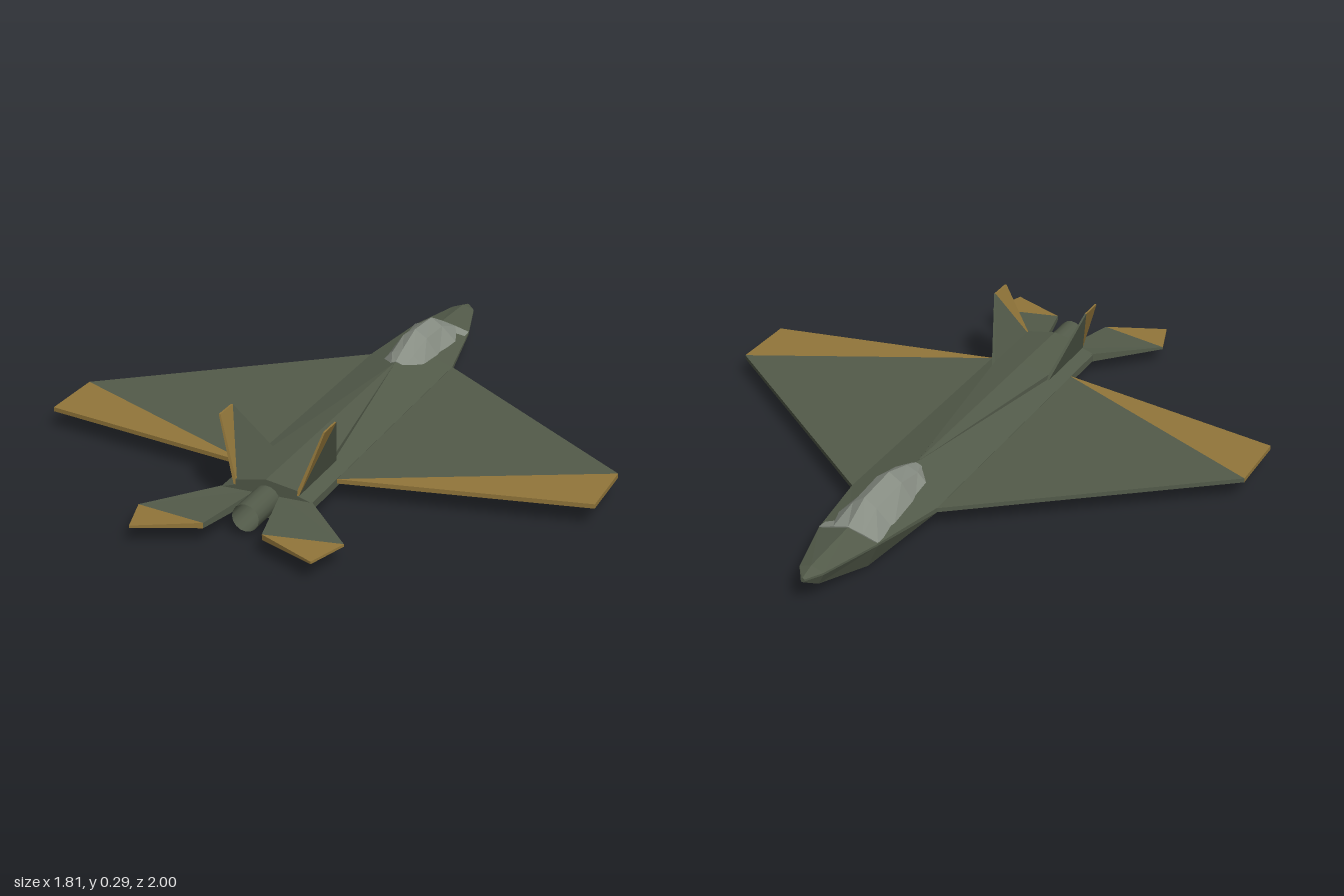
import * as THREE from 'three';

const mat = (name, color, side = THREE.FrontSide) => {
  const m = new THREE.MeshStandardMaterial({ color, side });
  m.name = name;
  return m;
};

// Flat-shaded closed solid skinned over rings of [x, y, z] points
function loft(rings) {
  const n = rings[0].length, tris = [];
  for (let r = 0; r < rings.length - 1; r++) {
    const a = rings[r], b = rings[r + 1];
    for (let i = 0; i < n; i++) {
      const j = (i + 1) % n;
      tris.push([a[i], a[j], b[j]], [a[i], b[j], b[i]]);
    }
  }
  const first = rings[0], last = rings[rings.length - 1];
  for (let i = 1; i < n - 1; i++) {
    tris.push([first[0], first[i + 1], first[i]], [last[0], last[i], last[i + 1]]);
  }
  // Turn the solid outward when its signed volume is negative
  let volume = 0;
  for (const [a, b, c] of tris) {
    volume += new THREE.Vector3(...a).dot(new THREE.Vector3(...b).cross(new THREE.Vector3(...c)));
  }
  if (volume < 0) tris.forEach(t => t.reverse());
  const g = new THREE.BufferGeometry();
  g.setAttribute('position', new THREE.Float32BufferAttribute(tris.flat(2), 3));
  g.computeVertexNormals();
  return g;
}

export function createModel() {
  const group = new THREE.Group();
  const green = mat('olive green', 0x535b4a);
  const gold = mat('ochre', 0x92763a);
  const glass = mat('canopy grey', 0x878d83);
  const red = mat('exhaust red', 0xd8462a);
  const greenOpen = green.clone();
  greenOpen.side = THREE.DoubleSide;

  const add = (name, geometry, material) => {
    const m = new THREE.Mesh(geometry, material);
    m.name = name;
    group.add(m);
    return m;
  };

  // Fuselage: z, top, half width, shoulder top, shoulder bottom, floor half width, floor
  const hull = [
    [-1, 0.092, 0.006, 0.088, 0.082, 0.004, 0.078],
    [-0.95, 0.106, 0.04, 0.092, 0.085, 0.022, 0.05],
    [-0.74, 0.118, 0.1, 0.09, 0.083, 0.065, 0.004],
    [-0.46, 0.121, 0.147, 0.075, 0.06, 0.07, 0],
    [0.68, 0.121, 0.147, 0.075, 0.05, 0.07, 0],
  ];
  add('fuselage', loft(hull.map(([z, t, w, s, u, b, f]) => [
    [0, t, z], [w, s, z], [w, u, z], [b, f, z], [-b, f, z], [-w, u, z], [-w, s, z],
  ])), green);

  // Dorsal spine widening toward the tail
  add('spine', loft([[-0.3, 0.002, 0.121], [0.42, 0.1, 0.106], [0.68, 0.1, 0.106]].map(([z, w, y]) => [
    [0, 0.124, z], [w, y, z], [w, 0.06, z], [-w, 0.06, z], [-w, y, z],
  ])), green);

  // Canopy: z, sill half width, sill, middle half width, middle height, top
  const bubble = [
    [-0.74, 0.1, 0.093, 0.05, 0.108, 0.12],
    [-0.64, 0.097, 0.085, 0.04, 0.14, 0.167],
    [-0.49, 0.088, 0.085, 0.042, 0.15, 0.177],
    [-0.38, 0.077, 0.09, 0.038, 0.128, 0.145],
    [-0.32, 0.03, 0.108, 0.015, 0.118, 0.123],
  ];
  add('canopy', loft(bubble.map(([z, w, b, m, h, t]) => [
    [-w, b, z], [-m, h, z], [0, t, z], [m, h, z], [w, b, z],
  ])), glass);

  for (const s of [1, -1]) {
    const side = s > 0 ? 'left' : 'right';

    // Horizontal plates: outline points are x, z, bottom, top
    const plate = pts => loft([2, 3].map(k => pts.map(p => [s * p[0], p[k], p[1]])));
    const wingTip = [0.905, 0.13, 0.06, 0.074], wingRoot = [0.14, 0.5, 0.06, 0.074];
    add(side + 'Wing', plate([[0.14, -0.466, 0.06, 0.074], wingTip, wingRoot]), green);
    add(side + 'WingFlap', plate([wingTip, [0.905, 0.36, 0.06, 0.074], wingRoot]), gold);

    const tailFront = [0.327, 0.86, 0.054, 0.062], tailRear = [0.093, 0.905, 0.05, 0.067];
    add(side + 'Tailplane', plate([
      [0.04, 0.67, 0.048, 0.077], [0.14, 0.67, 0.048, 0.077], tailFront, tailRear,
    ]), green);
    add(side + 'TailplaneFlap', plate([tailFront, [0.285, 0.995, 0.054, 0.062], tailRear]), gold);

    // Canted fins: outline points are x, y, z, half thickness
    const fin = pts => loft([-1, 1].map(k => pts.map(([x, y, z, h]) => [s * (x + k * h), y, z])));
    const finTop = [0.168, 0.287, 0.555, 0.003], finRoot = [0.1, 0.09, 0.68, 0.006];
    add(side + 'Fin', fin([[0.1, 0.09, 0.41, 0.006], finTop, finRoot]), green);
    add(side + 'Rudder', fin([finTop, [0.168, 0.287, 0.637, 0.003], finRoot]), gold);
  }

  // Open exhaust pipe with a glowing disc inside
  const pipe = add('nozzle', new THREE.CylinderGeometry(0.043, 0.043, 0.16, 16, 1, true), greenOpen);
  pipe.rotation.x = Math.PI / 2;
  pipe.position.set(0, 0.062, 0.74);
  const disc = add('exhaustGlow', new THREE.CircleGeometry(0.043, 16), red);
  disc.position.set(0, 0.062, 0.69);

  // Centre the length on the origin
  group.children.forEach(m => { m.position.z += 0.0025; });
  return group;
}
